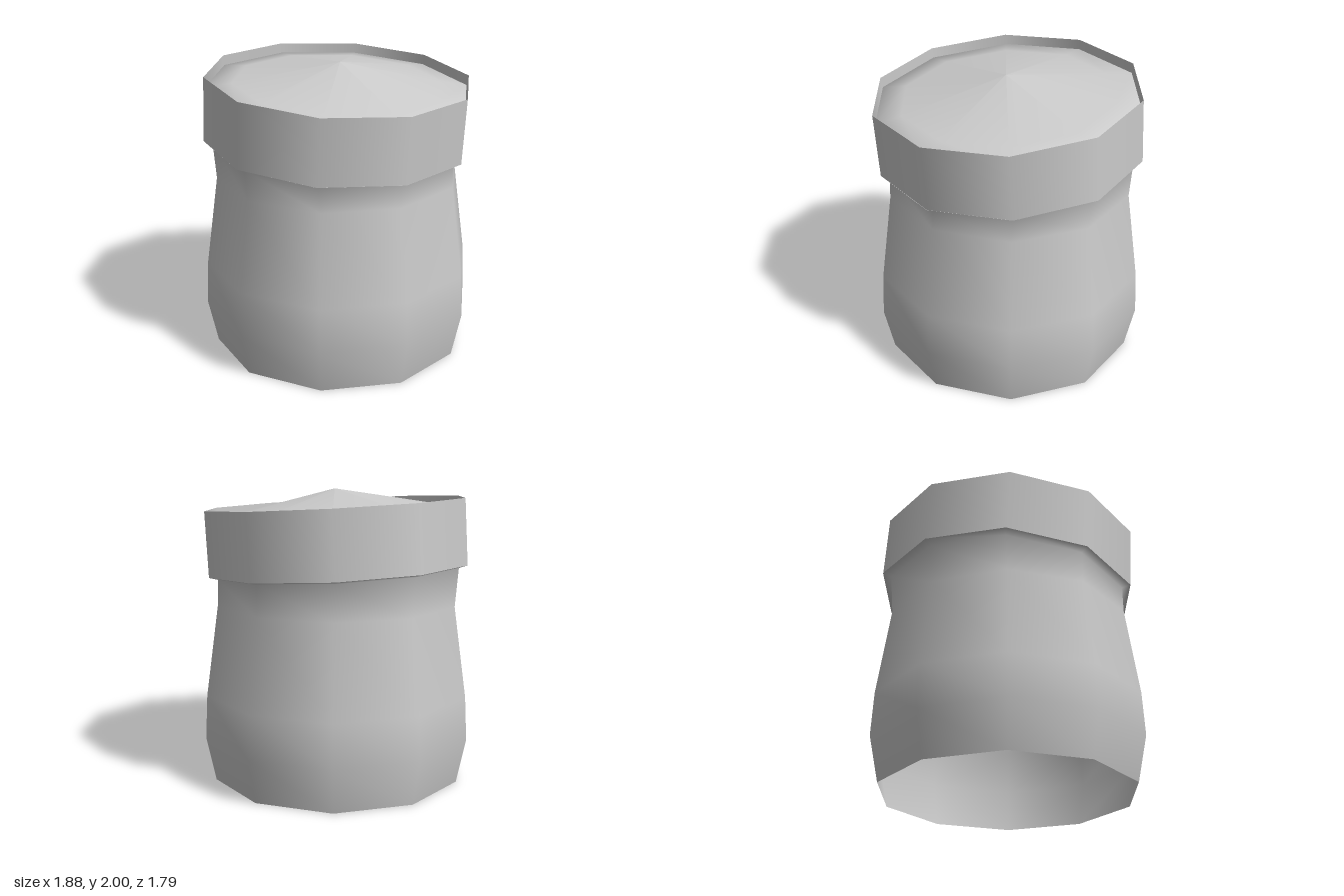
import * as THREE from 'three';

const SIDES = 10;
const SLOPE_X = -0.0635; // lean of the lid towards +x
const SLOPE_Z = -0.023; // lean of the lid towards +z

// Ten-sided turned shape with a corner on the x axis
function turned(name, profile) {
  const points = profile.map(([r, y]) => new THREE.Vector2(r, y));
  const geometry = new THREE.LatheGeometry(points, SIDES, Math.PI / 2);
  const material = new THREE.MeshStandardMaterial({ color: 0xcccccc, side: THREE.DoubleSide });
  const mesh = new THREE.Mesh(geometry, material);
  mesh.name = name;
  return mesh;
}

export function createModel() {
  const model = new THREE.Group();
  model.name = 'jar';

  // Bulging body, open at the bottom, flaring out under the lid
  const body = turned('body', [
    [0.875, 0], [0.94, 0.31], [0.925, 0.61], [0.837, 1.23], [0.845, 1.44], [0.905, 1.457],
  ]);
  // Slant the top rings to meet the tilted lid
  const pos = body.geometry.attributes.position;
  for (let i = 0; i < pos.count; i++) {
    if (pos.getY(i) < 1.4) continue;
    const x = pos.getX(i), z = pos.getZ(i);
    pos.setXYZ(i, x - 0.015, pos.getY(i) + SLOPE_X * x + SLOPE_Z * z, z - 0.003);
  }
  model.add(body);

  // Tilted lid: a thin outer band around a shallow pointed cap
  const lid = new THREE.Group();
  lid.name = 'lid';
  lid.add(turned('lidBand', [[0.905, 0], [0.905, 0.443]]));
  lid.add(turned('lidCap', [[0.9, 0.25], [0.895, 0.375], [0.72, 0.4], [0, 0.543]]));
  lid.position.set(-0.015, 1.457, -0.003);
  lid.rotation.set(-SLOPE_Z, 0, SLOPE_X);
  model.add(lid);

  return model;
}
